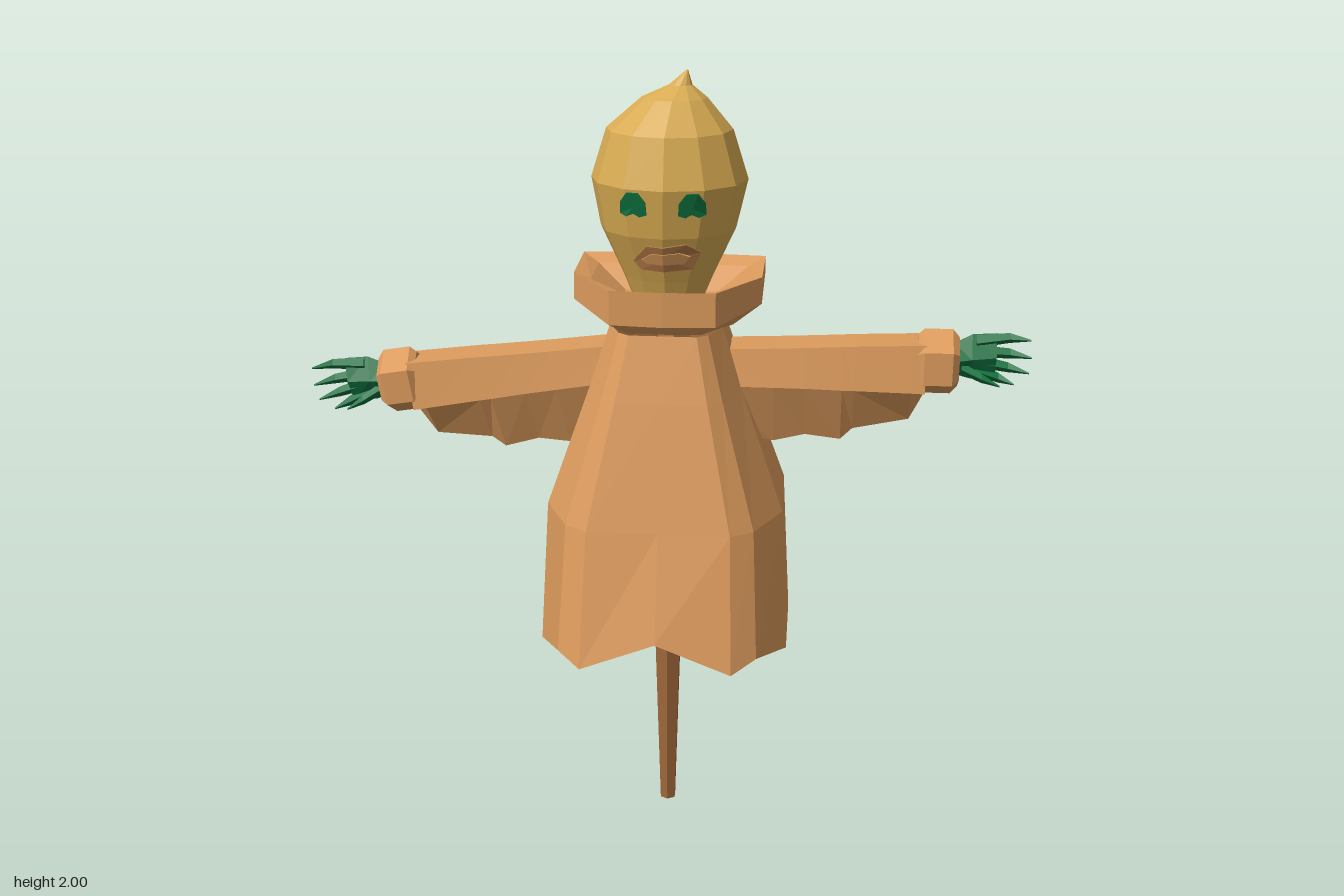
import * as THREE from 'three';

const material = (name, color) =>
  new THREE.MeshStandardMaterial({ name, color, side: THREE.DoubleSide });

// Skin a list of closed rings, each running anticlockwise about the direction of travel
function loft(rings, capStart = false, capEnd = false) {
  const n = rings[0].length, index = [];
  const points = rings.flat();
  for (let i = 0; i < rings.length - 1; i++) {
    for (let j = 0; j < n; j++) {
      const a = i * n + j, b = i * n + (j + 1) % n;
      index.push(a, b, b + n, a, b + n, a + n);
    }
  }
  const last = (rings.length - 1) * n;
  for (let j = 1; j < n - 1; j++) {
    if (capStart) index.push(0, j + 1, j);
    if (capEnd) index.push(last, last + j, last + j + 1);
  }
  const geo = new THREE.BufferGeometry();
  geo.setAttribute('position', new THREE.Float32BufferAttribute(points.flat(), 3));
  geo.setIndex(index);
  return geo;
}

// Faceted mesh
function part(name, geo, mat) {
  const flat = geo.toNonIndexed();
  flat.computeVertexNormals();
  const mesh = new THREE.Mesh(flat, mat);
  mesh.name = name;
  return mesh;
}

// Mirror a geometry in x and keep its faces outward
function mirrorX(geo) {
  geo.scale(-1, 1, 1);
  const ix = geo.index;
  for (let i = 0; i < ix.count; i += 3) {
    const t = ix.getX(i);
    ix.setX(i, ix.getX(i + 1));
    ix.setX(i + 1, t);
  }
  return geo;
}

// Complete a half outline (front centre to back centre) into a full ring
const fullRing = half => [...half, ...half.slice(1, -1).reverse().map(([x, ...r]) => [-x, ...r])];

// Head profile: height, radius, sideways lean
const HEAD = [
  [1.42, 0.08, 0], [1.5, 0.113, 0], [1.62, 0.168, 0], [1.74, 0.193, 0.003], [1.86, 0.155, 0.003],
  [1.935, 0.08, 0.015], [1.965, 0.028, 0.03], [2, 0.002, 0.045],
];
const HEAD_DEPTH = 0.89, HEAD_SIDES = 12, STEP = Math.PI * 2 / HEAD_SIDES;

// Depth of the faceted face surface at x, y
function faceZ(x, y) {
  const i = HEAD.findIndex((p, k) => k < HEAD.length - 1 && y <= HEAD[k + 1][0]);
  const [y0, r0] = HEAD[i], [y1, r1] = HEAD[i + 1];
  const r = r0 + (r1 - r0) * (y - y0) / (y1 - y0);
  const k = Math.abs(x) > r * Math.sin(STEP) ? 1 : 0;
  const xa = r * Math.sin(k * STEP), xb = r * Math.sin((k + 1) * STEP);
  const za = r * Math.cos(k * STEP), zb = r * Math.cos((k + 1) * STEP);
  return HEAD_DEPTH * (za + (zb - za) * (Math.abs(x) - xa) / (xb - xa));
}

// Thin raised plate following the face; outline runs anticlockwise from the front
function facePlate(outline, lift) {
  const cx = outline.reduce((s, p) => s + p[0], 0) / outline.length;
  const cy = outline.reduce((s, p) => s + p[1], 0) / outline.length;
  const at = d => outline.map(([x, y]) => [x, y, faceZ(x, y) + d]);
  const centreX = Math.abs(cx) < 0.03 ? 0 : cx;
  const centre = outline.map(() => [centreX, cy, faceZ(centreX, cy) + lift]);
  return loft([at(-0.002), at(lift), centre]);
}

export function createModel() {
  const cloth = material('orange cloth', 0xdb9a5c);
  const straw = material('golden sack', 0xd8ab52);
  const wood = material('brown wood', 0xa0683a);
  const green = material('dark green', 0x0d713f);
  const lipMat = material('lip brown', 0xb57c48);
  const model = new THREE.Group();
  model.name = 'scarecrow';

  // Pole
  const pole = part('pole', new THREE.CylinderGeometry(0.044, 0.022, 0.7, 6), wood);
  pole.position.y = 0.35;
  model.add(pole);

  // Robe: ragged hem (x, z, y) narrowing to the neck
  const hem = [
    [0, 0.36, 0.645], [0.19, 0.36, 0.57], [0.25, 0.31, 0.595], [0.32, 0.13, 0.54], [0.32, -0.02, 0.595],
    [0.315, -0.19, 0.535], [0.2, -0.335, 0.6], [0.08, -0.365, 0.56], [0, -0.33, 0.645],
  ];
  const robeRing = (y, sx, sFront, sBack) =>
    fullRing(hem.map(([x, z]) => [x * sx, y, z * (z > 0 ? sFront : sBack)]));
  const robe = loft([
    fullRing(hem.map(([x, z, y]) => [x, y, z])),
    robeRing(0.91, 0.94, 0.78, 0.81),
    robeRing(1.22, 0.6, 0.55, 0.54),
    robeRing(1.38, 0.44, 0.42, 0.34),
  ]);
  model.add(part('robe', robe, cloth));

  // Collar: flared band, deeper at the front
  const rim = [[0, 0.172], [0.13, 0.165], [0.235, 0.02], [0.235, -0.17], [0.12, -0.178], [0, -0.178]];
  const collarRing = (s, yOf) => fullRing(rim.map(([x, z]) => [x * s, yOf(z), z * s]));
  const collar = loft([
    collarRing(0.7, () => 1.375),
    collarRing(1, z => 1.435 - z * 0.16),
    collarRing(1, z => 1.5 - z * 0.03),
    collarRing(0.82, () => 1.485),
    collarRing(0.5, () => 1.43),
  ], false, true);
  model.add(part('collar', collar, cloth));

  // Head with a leaning tip
  const head = loft(HEAD.map(([y, r, cx]) => Array.from({ length: HEAD_SIDES }, (_, k) =>
    [cx + r * Math.sin(k * STEP), y, HEAD_DEPTH * r * Math.cos(k * STEP)])), true, true);
  model.add(part('head', head, straw));

  // Eyes: arched with a notched lower edge
  const eye = [[0.038, 1.68], [0.055, 1.674], [0.07, 1.682], [0.088, 1.674], [0.104, 1.68],
    [0.102, 1.71], [0.086, 1.733], [0.058, 1.733], [0.04, 1.71]];
  model.add(part('leftEye', facePlate(eye, 0.007), green));
  model.add(part('rightEye', mirrorX(facePlate(eye, 0.007)), green));

  // Mouth: lips with a lighter strip between
  const lips = [[-0.075, 1.558], [-0.055, 1.536], [0, 1.533], [0.07, 1.538], [0.09, 1.582],
    [0.055, 1.606], [0, 1.598], [-0.04, 1.6]];
  model.add(part('lips', facePlate(lips, 0.009), lipMat));
  const gap = lips.map(([x, y]) => [x * 0.72, 1.568 + (y - 1.568) * 0.42]);
  model.add(part('mouth', facePlate(gap, 0.014), cloth));

  // Sleeve stations: x, top, fold, ragged lower edge
  const sleeve = [
    [0.1, 1.32, 1.23, 1.1], [0.27, 1.327, 1.23, 1.07], [0.35, 1.331, 1.23, 1.09], [0.44, 1.336, 1.228, 1.08],
    [0.47, 1.338, 1.228, 1.11], [0.61, 1.344, 1.226, 1.14], [0.645, 1.345, 1.225, 1.21],
  ];
  const sleeveRings = sleeve.map(([x, t, m, b]) => [
    [x, t, 0.055], [x, m, 0.072], [x, b, 0.015], [x, b, -0.015], [x, m, -0.072], [x, t, -0.055]]);

  // Cuff: bevelled hexagonal band
  const cuffRings = [[0.625, 0.068], [0.64, 0.084], [0.71, 0.084], [0.727, 0.064]].map(([x, r]) =>
    Array.from({ length: 6 }, (_, k) => {
      const a = k * Math.PI / 3;
      return [x, 1.29 + r * Math.cos(a), r * Math.sin(a)];
    }));

  // Hand pieces: sections of x, y, z, half height, half depth
  const limb = sections => loft(sections.map(([x, y, z, h, d]) =>
    [[x, y + h, z], [x, y, z + d], [x, y - h, z], [x, y, z - d]]), true, true);
  const hand = [['palm', [[0.715, 1.295, -0.01, 0.04, 0.035], [0.76, 1.3, -0.015, 0.058, 0.032],
    [0.82, 1.305, -0.012, 0.058, 0.024]]]];
  [[1.34, 0.9, 1.357], [1.315, 0.905, 1.312], [1.29, 0.9, 1.272], [1.268, 0.865, 1.242]].forEach(([y, tx, ty], i) =>
    hand.push([`finger${i + 1}`, [[0.77, y, -0.012, 0.017, 0.018],
      [0.77 + (tx - 0.77) * 0.62, y + (ty - y) * 0.75, -0.008, 0.013, 0.014], [tx, ty, 0.024, 0.002, 0.002]]]));
  hand.push(['thumb', [[0.735, 1.275, 0.005, 0.015, 0.016], [0.785, 1.255, 0.022, 0.012, 0.012],
    [0.83, 1.238, 0.032, 0.002, 0.002]]]);

  // Both arms; the right one hangs lower
  for (const side of [1, -1]) {
    const arm = new THREE.Group();
    arm.name = side > 0 ? 'leftArm' : 'rightArm';
    const add = (name, geo, mat) => {
      if (side < 0) mirrorX(geo);
      geo.translate(-side * 0.17, -1.32, 0);
      arm.add(part(name, geo, mat));
    };
    add('sleeve', loft(sleeveRings, true, true), cloth);
    add('cuff', loft(cuffRings, true, true), cloth);
    for (const [name, sections] of hand) add(name, limb(sections), green);
    if (side > 0) {
      arm.position.set(0.17, 1.32, 0);
    } else {
      arm.position.set(-0.195, 1.312, 0);
      arm.rotation.z = 0.165;
    }
    model.add(arm);
  }
  return model;
}
